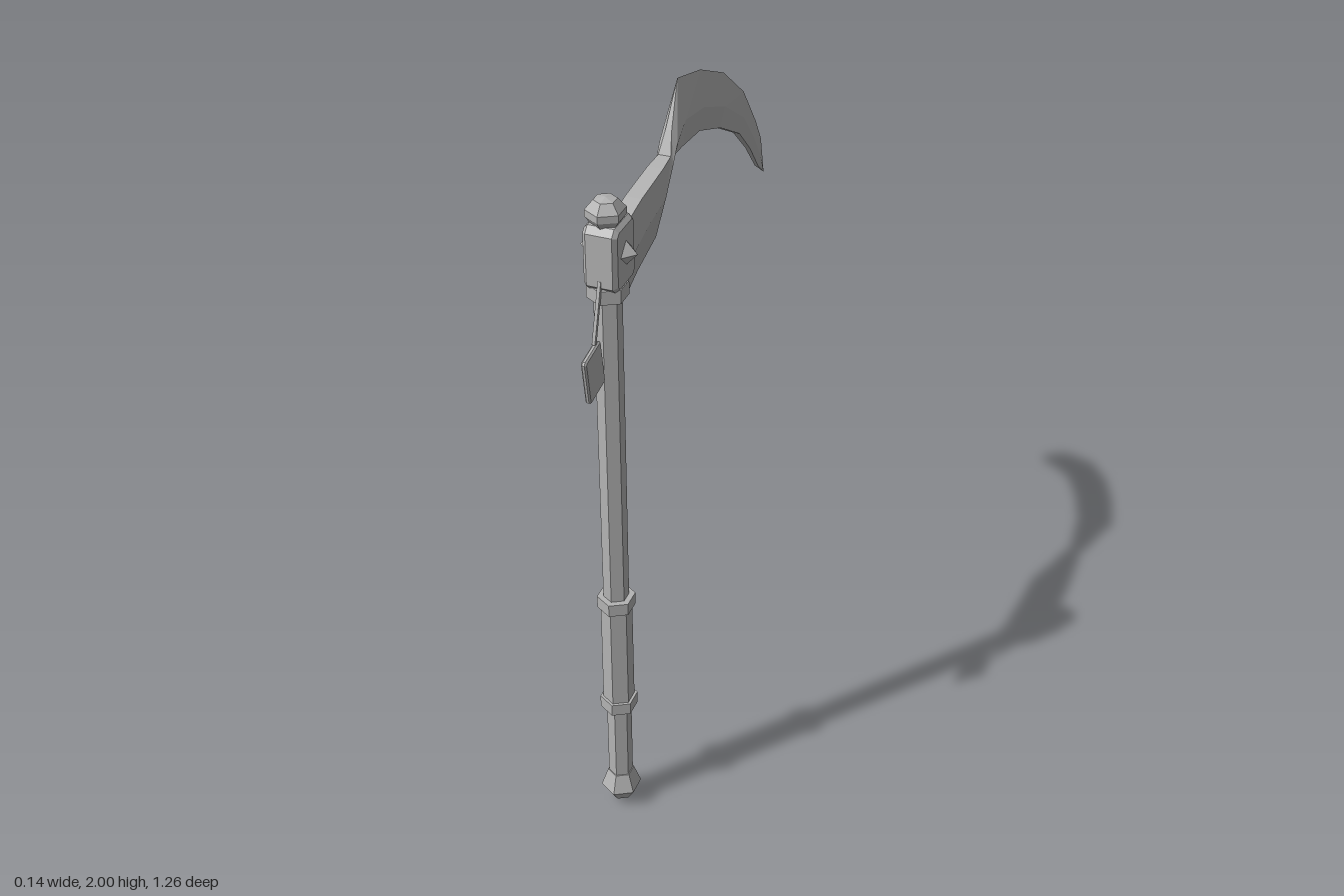
import * as THREE from 'three';

const metal = new THREE.MeshStandardMaterial({ color: 0xb4b4b4 });
metal.name = 'grey metal';

// faceted mesh with hard edges
function part(name, geometry, x = 0, y = 0, z = 0) {
  const flat = geometry.index ? geometry.toNonIndexed() : geometry;
  flat.computeVertexNormals();
  const mesh = new THREE.Mesh(flat, metal);
  mesh.name = name;
  mesh.position.set(x, y, z);
  return mesh;
}

// six-sided turned part from [radius, y] pairs
const turned = (profile) =>
  new THREE.LatheGeometry(profile.map(([r, y]) => new THREE.Vector2(r, y)), 6);

// box with chamfered edges; the outline lies in z-y and is extruded along x
function chamferBox(w, h, d, b) {
  const p = d / 2 - b, q = h / 2 - b;
  const s = new THREE.Shape([
    [p, -q + b], [p, q - b], [p - b, q], [-p + b, q],
    [-p, q - b], [-p, -q + b], [-p + b, -q], [p - b, -q],
  ].map(([u, v]) => new THREE.Vector2(u, v)));
  const g = new THREE.ExtrudeGeometry(s, {
    depth: w - 2 * b, bevelEnabled: true, bevelSize: b, bevelThickness: b, bevelSegments: 1,
  });
  g.translate(0, 0, -(w / 2 - b));
  return g.rotateY(Math.PI / 2);
}

// loft of six-point sections: top z, top y, bottom z, bottom y,
// half widths at top, ridge and bottom, ridge position from top to bottom
function bladeGeometry(sections) {
  const rings = sections.map(([tz, ty, bz, by, tw, mw, bw, t]) => {
    const my = ty + (by - ty) * t, mz = tz + (bz - tz) * t;
    return [[tw, ty, tz], [-tw, ty, tz], [-mw, my, mz], [-bw, by, bz], [bw, by, bz], [mw, my, mz]];
  });
  const pos = [];
  const tri = (a, b, c) => pos.push(...a, ...b, ...c);
  for (let i = 0; i < rings.length - 1; i++) {
    const a = rings[i], b = rings[i + 1];
    for (let j = 0; j < 6; j++) {
      const k = (j + 1) % 6;
      tri(a[j], b[j], b[k]);
      tri(a[j], b[k], a[k]);
    }
  }
  for (let j = 1; j < 5; j++) tri(rings[0][0], rings[0][j], rings[0][j + 1]);
  const g = new THREE.BufferGeometry();
  g.setAttribute('position', new THREE.Float32BufferAttribute(pos, 3));
  return g;
}

export function createModel() {
  const model = new THREE.Group();
  model.name = 'scythe';
  const Z = 0.48; // shaft axis

  // shaft, grip and pommel
  model.add(part('shaft', turned([[0.033, 0.08], [0.034, 1.7]]), 0, 0, Z));
  model.add(part('grip', turned([[0.03, 0.37], [0.042, 0.37], [0.041, 0.73], [0.03, 0.73]]), 0, 0, Z));
  model.add(part('pommel', turned([[0, 0], [0.03, 0.02], [0.055, 0.06], [0.036, 0.115], [0, 0.115]]), 0, 0, Z));

  // rings round the shaft
  [0.377, 0.728, 1.665].forEach((y) => {
    const h = 0.018, r = 0.05;
    model.add(part('ring', turned([[0, -h], [r, -h], [r, h], [0, h]]), 0, y, Z));
  });

  // head block, cap and side studs
  model.add(part('headBlock', chamferBox(0.085, 0.165, 0.115, 0.01), 0, 1.758, 0.468));
  model.add(part('headCap', turned([[0.03, 1.83], [0.036, 1.84], [0.048, 1.856], [0.048, 1.874], [0.028, 1.897], [0, 1.902]]), 0, 0, Z));
  for (const side of [1, -1]) {
    const stud = new THREE.CylinderGeometry(0, 0.033, 0.03, 4).rotateZ(-side * Math.PI / 2);
    model.add(part('sideStud', stud, side * 0.056, 1.762, 0.467));
  }

  // blade: edge below at the root, edge above after the neck
  model.add(part('blade', bladeGeometry([
    [0.42, 1.80, 0.39, 1.58, 0.021, 0.031, 0, 0.4],
    [0.32, 1.82, 0.30, 1.615, 0.021, 0.029, 0, 0.4],
    [0.183, 1.832, 0.183, 1.645, 0.020, 0.027, 0, 0.4],
    [0.125, 1.836, 0.13, 1.79, 0.016, 0.023, 0.012, 0.5],
    [0.098, 1.89, 0.098, 1.832, 0.008, 0.023, 0.018, 0.55],
    [0.04, 2.0, 0.055, 1.832, 0, 0.025, 0.02, 0.6],
    [-0.115, 1.957, -0.07, 1.815, 0, 0.021, 0.016, 0.6],
    [-0.284, 1.878, -0.23, 1.75, 0, 0.017, 0.013, 0.6],
    [-0.443, 1.757, -0.39, 1.66, 0, 0.012, 0.009, 0.6],
    [-0.549, 1.624, -0.485, 1.572, 0, 0.009, 0.007, 0.6],
    [-0.597, 1.55, -0.565, 1.48, 0, 0.006, 0.005, 0.6],
    [-0.629, 1.432, -0.627, 1.432, 0, 0.001, 0, 0.5],
  ])));

  // hanging tag and its cord
  const cord = part('tagCord', new THREE.BoxGeometry(0.008, 0.15, 0.01), 0, 1.635, 0.544);
  cord.rotation.x = -0.29;
  const tag = part('tag', chamferBox(0.014, 0.128, 0.09, 0.004), 0, 1.494, 0.576);
  tag.rotation.x = 0.16;
  model.add(cord, tag);

  return model;
}
